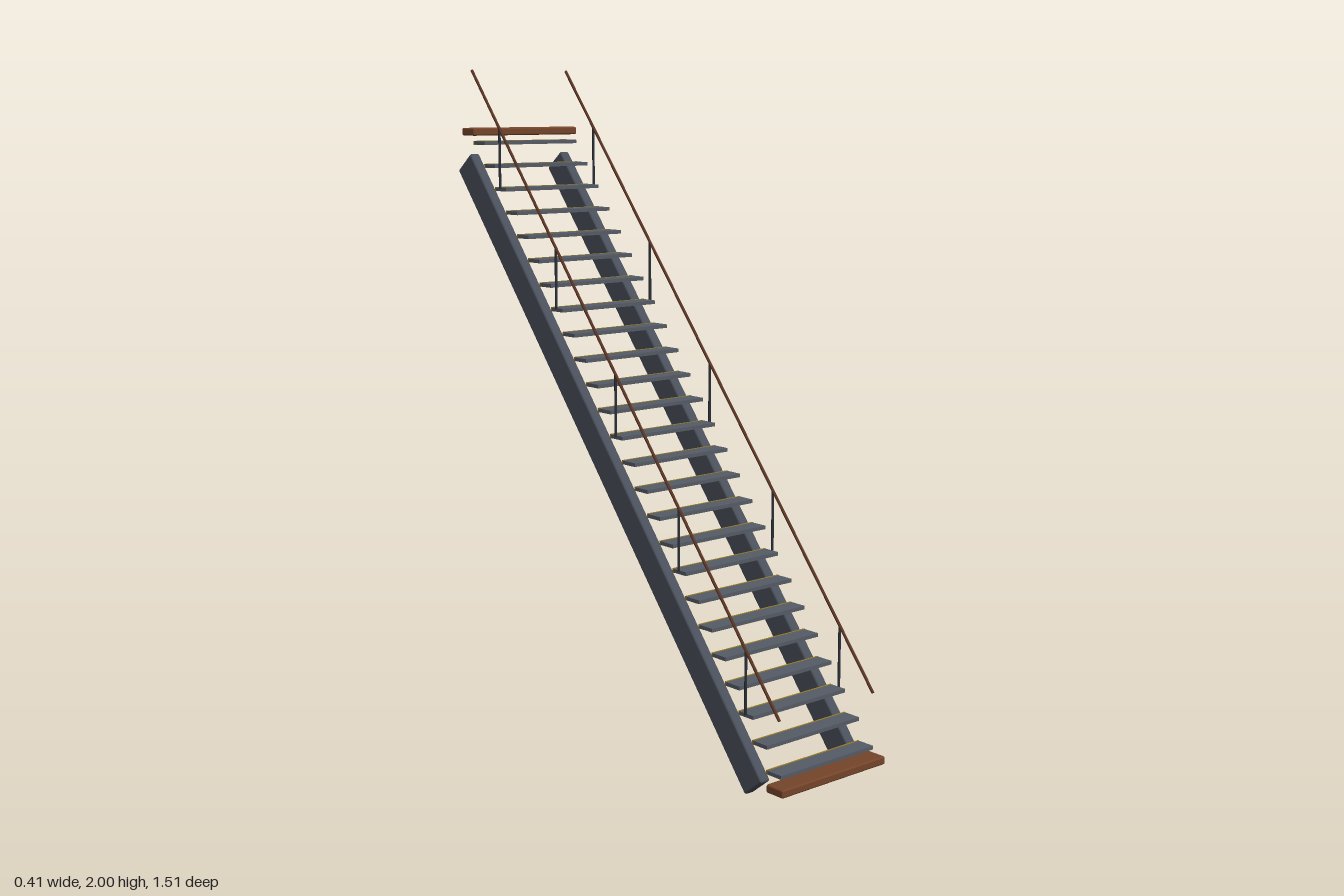
import * as THREE from 'three';
import { RoundedBoxGeometry } from 'three/addons/geometries/RoundedBoxGeometry.js';

const STEPS = 25, RISE = 0.0703, RUN = 0.0564;
const FIRST_Y = 0.087, FIRST_Z = 0.701;
const PITCH = -Math.atan2(RUN, RISE); // lean of the flight from vertical

const paint = (color) => new THREE.MeshStandardMaterial({ color });

export function createModel() {
  const model = new THREE.Group();
  const steel = paint(0x4a505b), treadGrey = paint(0x565c66);
  const postGrey = paint(0x2c3038), wood = paint(0x75452a);
  const railWood = paint(0x5a3424), yellow = paint(0x9a7d24);

  const add = (name, geometry, material, x, y, z, lean = 0) => {
    const mesh = new THREE.Mesh(geometry, material);
    mesh.name = name;
    mesh.position.set(x, y, z);
    mesh.rotation.x = lean;
    model.add(mesh);
  };

  // Open treads, each with a coloured strip along the back edge
  const treadGeo = new THREE.BoxGeometry(0.365, 0.011, 0.054);
  const stripGeo = new THREE.BoxGeometry(0.365, 0.013, 0.005);
  for (let i = 0; i < STEPS; i++) {
    const y = FIRST_Y + i * RISE, z = FIRST_Z - i * RUN;
    add('tread', treadGeo, treadGrey, 0, y, z + 0.001);
    add('treadEdge', stripGeo, yellow, 0, y, z - 0.0285);
  }

  // Bevelled boards at the foot and head of the flight
  const boardGeo = new RoundedBoxGeometry(0.408, 0.024, 0.065, 2, 0.005);
  add('footBoard', boardGeo, wood, 0, 0.052, 0.725);
  add('headBoard', boardGeo, wood, 0, 1.809, -0.683);

  // Stringers, handrails and posts on both sides
  const stringerGeo = new RoundedBoxGeometry(0.034, 2.16, 0.089, 2, 0.007);
  const railGeo = new THREE.CylinderGeometry(0.0045, 0.0045, 2.246, 10);
  const postGeo = new THREE.CylinderGeometry(0.004, 0.004, 0.184, 8);
  for (const side of [-1, 1]) {
    const label = side > 0 ? 'left' : 'right';
    add(label + 'Stringer', stringerGeo, steel, side * 0.178, 0.872, -0.044, PITCH);
    add(label + 'Handrail', railGeo, railWood, side * 0.185, 1.123, 0.02, PITCH);
    for (let i = 2; i < STEPS; i += 5) {
      add(label + 'Post', postGeo, postGrey, side * 0.185, FIRST_Y + i * RISE + 0.094, FIRST_Z - i * RUN);
    }
  }
  return model;
}
